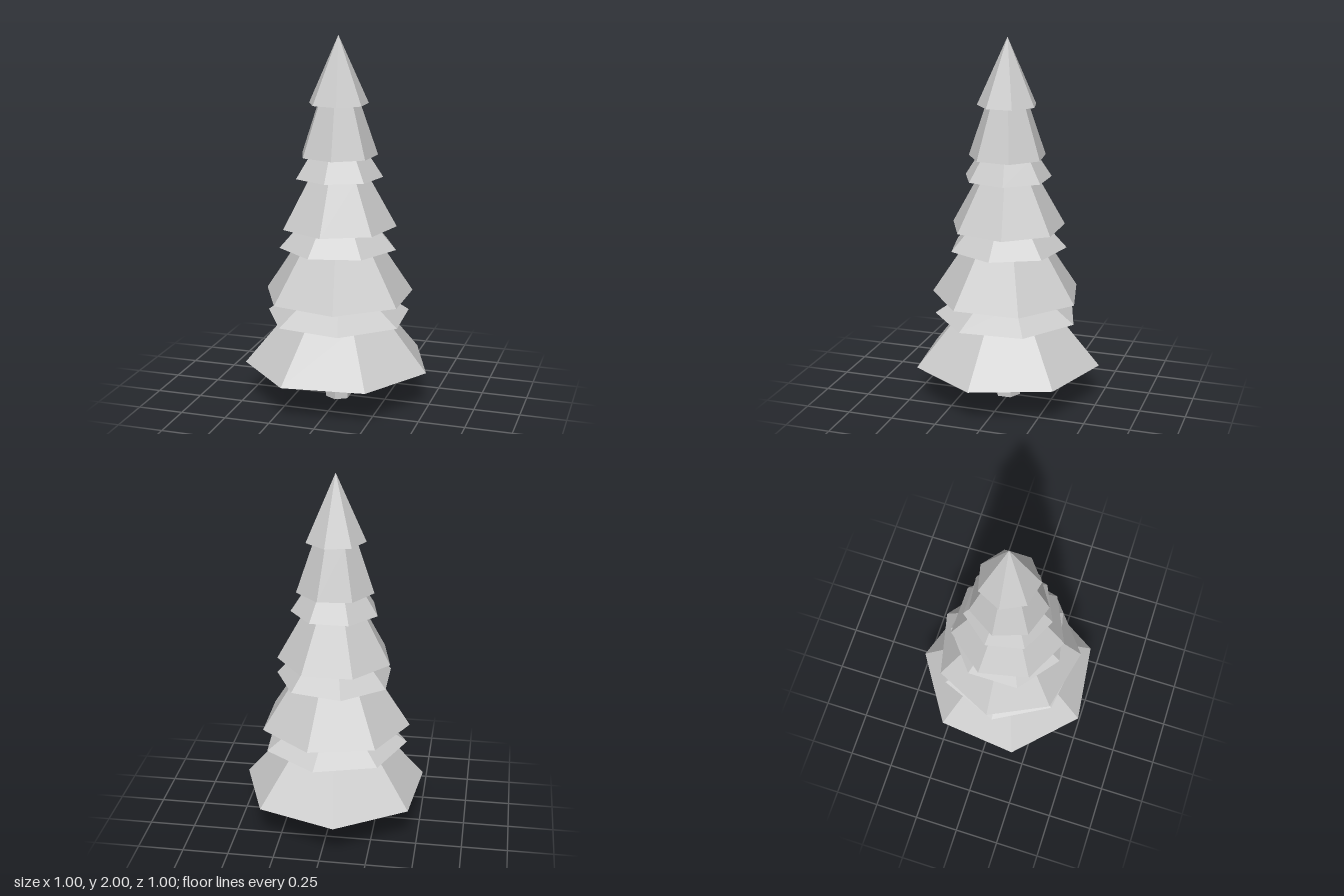
import * as THREE from 'three';

// Height, base radius, radius at the next tier up, direction of one corner (degrees from +x towards +z)
const TIERS = [
  [0.205, 0.514, 0.288, 6.1],
  [0.475, 0.400, 0.226, 73.6],
  [0.595, 0.414, 0.236, 180],
  [0.865, 0.322, 0.218, 0],
  [0.980, 0.315, 0.164, 91],
  [1.250, 0.240, 0.165, 91],
  [1.365, 0.212, 0.117, 83.4],
  [1.640, 0.163, 0, 180],
];
const TOP = 2;

export function createModel() {
  const tree = new THREE.Group();
  tree.name = 'pineTree';
  const material = new THREE.MeshStandardMaterial({ color: 0xcccccc, flatShading: true });

  // Upright prism, frustum or cone between two heights on the tree's axis
  function addSection(name, y0, y1, bottomRadius, topRadius, sides, cornerAngle) {
    const start = THREE.MathUtils.degToRad(90 - cornerAngle);
    const geometry = new THREE.CylinderGeometry(topRadius, bottomRadius, y1 - y0, sides, 1, false, start);
    const mesh = new THREE.Mesh(geometry, material);
    mesh.name = name;
    mesh.position.set(-0.015, (y0 + y1) / 2, 0.011);
    tree.add(mesh);
  }

  // Hexagonal trunk
  addSection('trunk', 0, 0.215, 0.072, 0.072, 6, 90);

  // Seven-sided foliage tiers, ending in a pointed crown
  TIERS.forEach(([y, bottom, top, angle], i) => {
    const isCrown = i === TIERS.length - 1;
    const nextY = isCrown ? TOP : TIERS[i + 1][0];
    addSection(isCrown ? 'crown' : `foliageTier${i + 1}`, y, nextY, bottom, top, 7, angle);
  });

  return tree;
}
